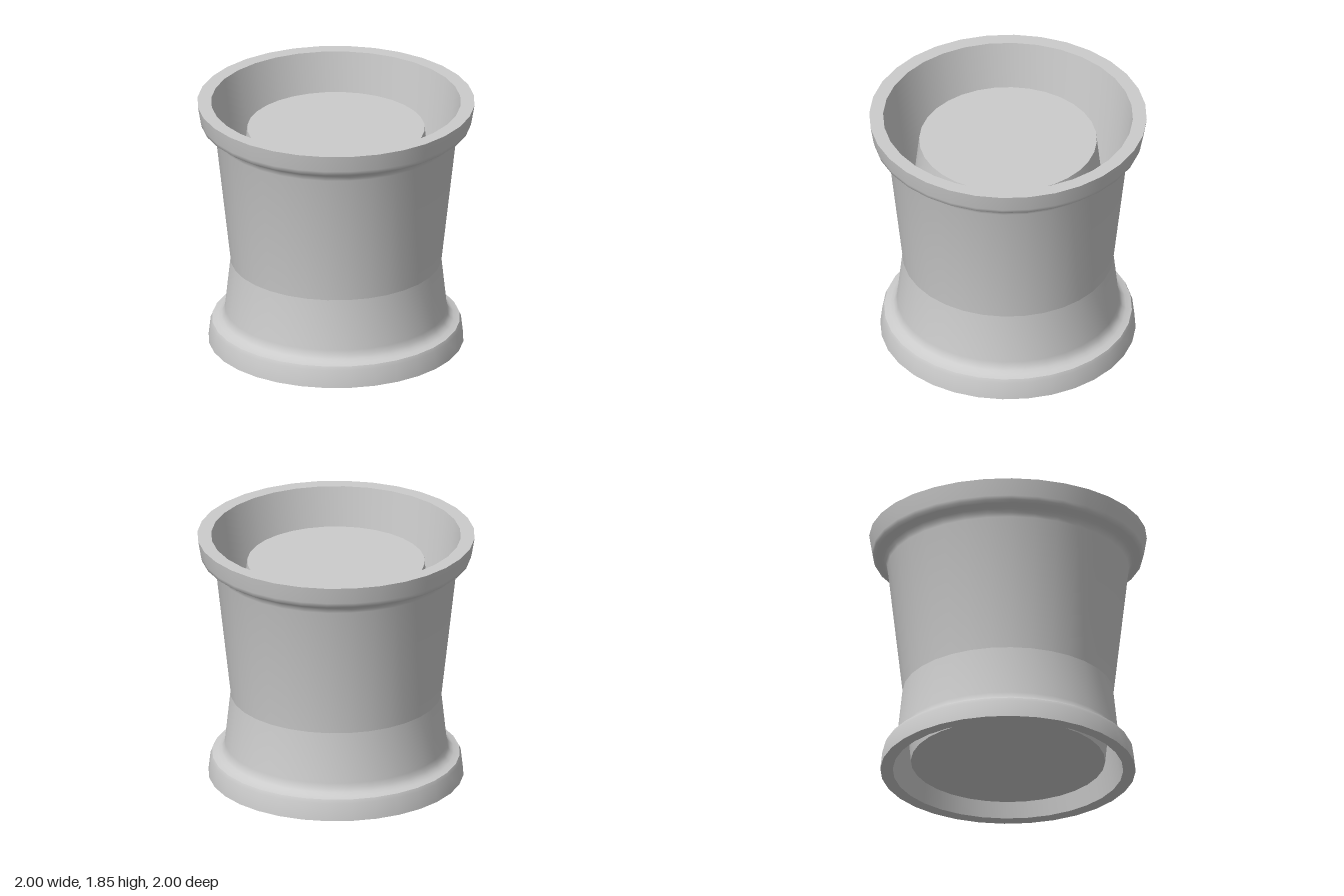
import * as THREE from 'three';
import { toCreasedNormals } from 'three/addons/utils/BufferGeometryUtils.js';

const SIDES = 32;
const WAIST = 0.62;

// Turned part from [radius, height] points, with sharp rims kept sharp
function turned(name, profile) {
  const points = profile.map(([r, y]) => new THREE.Vector2(r, y));
  const geometry = toCreasedNormals(new THREE.LatheGeometry(points, SIDES), 0.8);
  const mesh = new THREE.Mesh(geometry, new THREE.MeshStandardMaterial({ color: 0xcccccc }));
  mesh.name = name;
  return mesh;
}

export function createModel() {
  const group = new THREE.Group();
  group.name = 'flaredSpool';

  // Lower shell: inner wall down to the foot, then the moulded outside up to the waist
  group.add(turned('baseShell', [
    [0.75, WAIST], [0.83, 0], [0.92, 0], [0.905, 0.13], [0.893, 0.157],
    [0.85, 0.168], [0.825, 0.185], [0.808, 0.21], [0.8, 0.245], [0.76, WAIST],
  ]));

  // Upper shell: flared outside up to the lip, then the inner wall back down
  group.add(turned('cupShell', [
    [0.76, WAIST], [0.87, 1.605], [0.88, 1.635], [0.9, 1.657], [0.95, 1.68],
    [0.972, 1.697], [0.979, 1.725], [1, 1.85], [0.9, 1.85], [0.75, WAIST],
  ]));

  // Inner core, widest at the waist where it meets the shells
  group.add(turned('lowerCore', [[0, 0.07], [0.7, 0.07], [0.753, WAIST]]));
  group.add(turned('upperCore', [[0.753, WAIST], [0.64, 1.645], [0, 1.645]]));

  return group;
}
